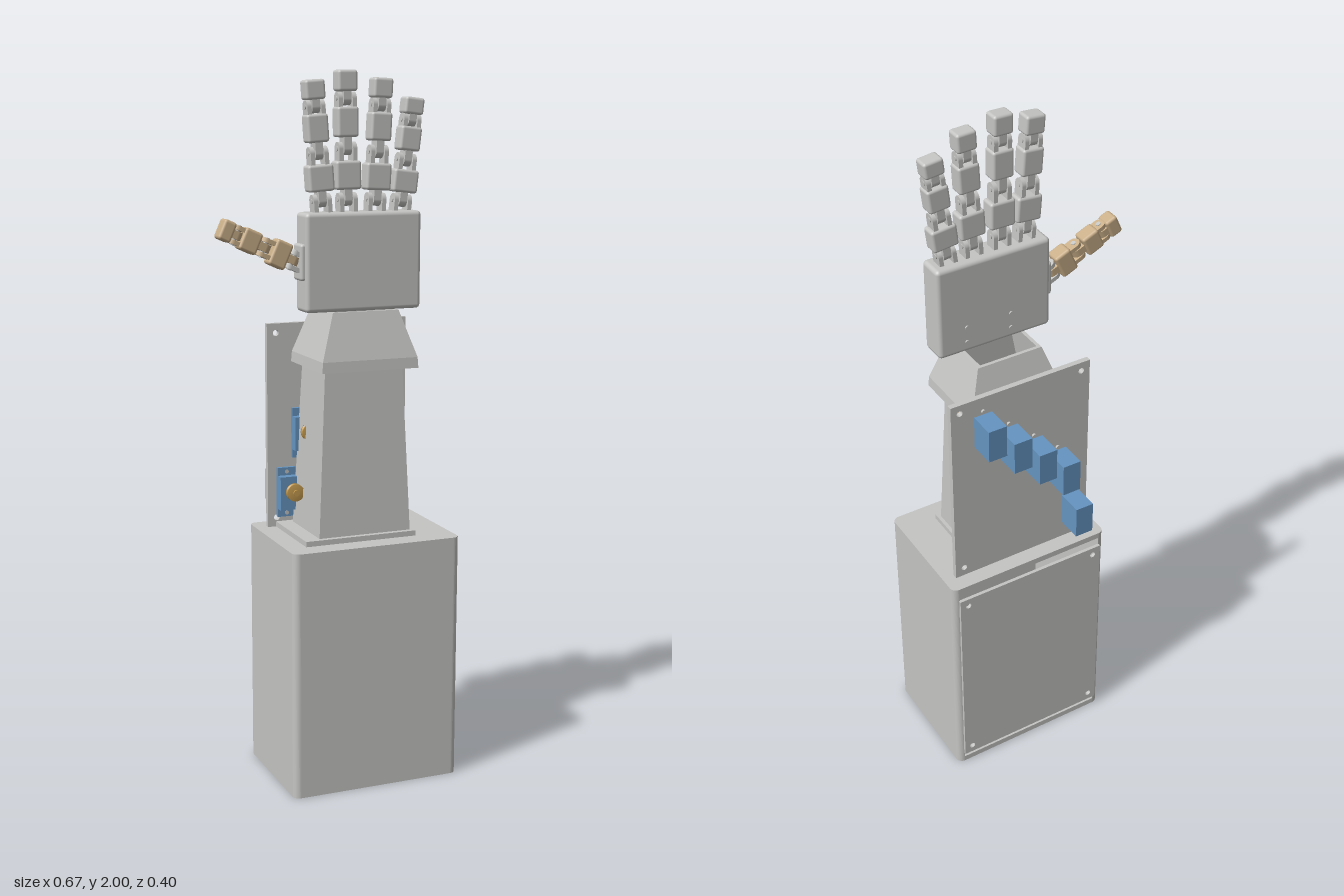
import * as THREE from 'three';
import { RoundedBoxGeometry } from 'three/addons/geometries/RoundedBoxGeometry.js';

const mat = (name, color) => Object.assign(new THREE.MeshStandardMaterial({ color }), { name });

export function createModel() {
  const grey = mat('lightGrey', 0xc4c4c2);
  const blue = mat('servoBlue', 0x6594c0);
  const tan = mat('thumbTan', 0xc9ae88);
  const brass = mat('brass', 0xc49a4e);
  const model = new THREE.Group();
  model.name = 'roboticArm';

  const add = (parent, name, geo, m, x = 0, y = 0, z = 0) => {
    const mesh = new THREE.Mesh(geo, m);
    mesh.name = name;
    mesh.position.set(x, y, z);
    parent.add(mesh);
    return mesh;
  };
  // box given by its limits
  const block = (parent, name, m, x0, x1, y0, y1, z0, z1) =>
    add(parent, name, new THREE.BoxGeometry(x1 - x0, y1 - y0, z1 - z0), m,
      (x0 + x1) / 2, (y0 + y1) / 2, (z0 + z1) / 2);
  const rodZ = (r, len) => new THREE.CylinderGeometry(r, r, len, 20).rotateX(Math.PI / 2);
  const rodX = (r, len) => new THREE.CylinderGeometry(r, r, len, 20).rotateZ(Math.PI / 2);

  // flat panel facing z with round holes
  const panel = (name, x0, x1, y0, y1, z0, depth, holes, r) => {
    const s = new THREE.Shape([[x0, y0], [x1, y0], [x1, y1], [x0, y1]].map(p => new THREE.Vector2(...p)));
    for (const [x, y] of holes) {
      const h = new THREE.Path();
      h.absarc(x, y, r, 0, Math.PI * 2, true);
      s.holes.push(h);
    }
    add(model, name, new THREE.ExtrudeGeometry(s, { depth, bevelEnabled: false, curveSegments: 10 }), grey, 0, 0, z0);
  };
  const corners = (x0, x1, y0, y1, d) =>
    [[x0 + d, y0 + d], [x1 - d, y0 + d], [x0 + d, y1 - d], [x1 - d, y1 - d]];

  // hollow rectangular sleeve; each ring is [y, x0, x1, z0, z1], outside upwards then inside downwards
  const sleeve = (name, rings) => {
    const pos = [], idx = [], n = rings.length;
    for (const [y, x0, x1, z0, z1] of rings) pos.push(x0, y, z1, x1, y, z1, x1, y, z0, x0, y, z0);
    for (let j = 0; j < n; j++) for (let i = 0; i < 4; i++) {
      const k = (i + 1) % 4, a = j * 4, b = ((j + 1) % n) * 4;
      idx.push(a + i, a + k, b + k, a + i, b + k, b + i);
    }
    const g = new THREE.BufferGeometry();
    g.setAttribute('position', new THREE.Float32BufferAttribute(pos, 3));
    g.setIndex(idx);
    const flat = g.toNonIndexed();
    flat.computeVertexNormals();
    add(model, name, flat, grey);
  };

  // base housing: rounded walls, open at the back, with floor and roof
  const X0 = -0.17, X1 = 0.333, Z0 = -0.17, Z1 = 0.197, R = 0.02, T = 0.018;
  const outline = s => {
    s.lineTo(X1 - R, -Z0);
    s.absarc(X1 - R, -Z0 - R, R, Math.PI / 2, 0, true);
    s.lineTo(X1, -Z1 + R);
    s.absarc(X1 - R, -Z1 + R, R, 0, -Math.PI / 2, true);
    s.lineTo(X0 + R, -Z1);
    s.absarc(X0 + R, -Z1 + R, R, -Math.PI / 2, -Math.PI, true);
    s.lineTo(X0, -Z0 - R);
    s.absarc(X0 + R, -Z0 - R, R, Math.PI, Math.PI / 2, true);
    return s;
  };
  const upright = (s, h) =>
    new THREE.ExtrudeGeometry(s, { depth: h, bevelEnabled: false, curveSegments: 6 }).rotateX(-Math.PI / 2);
  const wall = outline(new THREE.Shape().moveTo(X1 - R, -Z0));
  [[X0 + R, -Z0 - T], [X0 + T, -Z0 - T], [X0 + T, -Z1 + T], [X1 - T, -Z1 + T], [X1 - T, -Z0 - T], [X1 - R, -Z0 - T]]
    .forEach(p => wall.lineTo(...p));
  add(model, 'baseWalls', upright(wall, 0.674), grey, 0, 0.018);
  for (const [name, y] of [['baseFloor', 0], ['baseRoof', 0.692]])
    add(model, name, upright(outline(new THREE.Shape().moveTo(X0 + R, -Z0)), 0.018), grey, 0, y);
  panel('baseBackCover', -0.152, 0.315, 0.037, 0.668, -0.178, 0.01, corners(-0.152, 0.315, 0.037, 0.668, 0.025), 0.009);

  // forearm: foot flange, tapered sleeve and flared wrist cuff
  sleeve('forearmFlange', [[0.71, -0.11, 0.222, -0.106, 0.135], [0.725, -0.11, 0.222, -0.106, 0.135],
    [0.725, -0.05, 0.2, -0.075, 0.105], [0.71, -0.05, 0.2, -0.075, 0.105]]);
  sleeve('forearm', [[0.712, -0.065, 0.212, -0.09, 0.12], [1.2, -0.04, 0.192, -0.072, 0.1],
    [1.2, -0.028, 0.18, -0.06, 0.088], [0.712, -0.053, 0.2, -0.078, 0.108]]);
  sleeve('wristCuff', [[1.192, -0.062, 0.225, -0.105, 0.136], [1.222, -0.06, 0.223, -0.103, 0.134],
    [1.352, -0.016, 0.18, -0.065, 0.098], [1.352, -0.006, 0.168, -0.055, 0.088],
    [1.222, -0.032, 0.184, -0.064, 0.092], [1.192, -0.035, 0.186, -0.066, 0.094]]);

  // servo mounting plate
  panel('servoPlate', -0.134, 0.297, 0.71, 1.302, -0.123, 0.016, corners(-0.134, 0.297, 0.71, 1.302, 0.027), 0.009);

  // five servos with mounting tabs and tendon spools
  [[-0.08, 0.812], [-0.034, 0.984], [0.043, 1.055], [0.122, 1.126], [0.2, 1.197]].forEach(([x, y]) => {
    const servo = new THREE.Group();
    servo.name = 'servo';
    servo.position.set(x, y, 0);
    model.add(servo);
    const w = 0.0275;
    block(servo, 'servoBody', blue, -w, w, -0.048, 0.05, -0.2, -0.072);
    block(servo, 'servoTabs', blue, -w, w, -0.072, 0.073, -0.107, -0.096);
    for (const s of [-1, 1]) add(servo, 'servoScrew', rodZ(0.006, 0.034), grey, 0, s * 0.061, -0.112);
    add(servo, 'servoShaft', rodZ(0.008, 0.055), brass, 0, 0.014, -0.05);
    const p = [[0, -0.009], [0.025, -0.009], [0.025, -0.005], [0.019, -0.001], [0.019, 0.001], [0.025, 0.005], [0.025, 0.009], [0, 0.009]];
    const spool = new THREE.LatheGeometry(p.map(q => new THREE.Vector2(...q)), 24).rotateX(Math.PI / 2);
    add(servo, 'tendonSpool', spool, brass, 0, 0.014, -0.029);
    add(servo, 'spoolHub', rodZ(0.009, 0.006), brass, 0, 0.014, -0.018);
  });

  // palm with rear screws and thumb mount
  add(model, 'palm', new RoundedBoxGeometry(0.342, 0.27, 0.08, 3, 0.012), grey, 0.078, 1.488, 0.056);
  for (const x of [0.03, 0.165]) for (const y of [1.385, 1.43])
    add(model, 'palmScrew', rodZ(0.006, 0.006), grey, x, y, 0.0155);
  add(model, 'thumbMount', new RoundedBoxGeometry(0.025, 0.1, 0.06, 2, 0.008), grey, -0.092, 1.49, 0.056);

  // jointed finger: forked knuckle, then three phalanges joined by pinned hinges
  const finger = (name, x, y, angle, len, m) => {
    const f = new THREE.Group();
    f.name = name;
    f.position.set(x, y, 0.056);
    f.rotation.z = angle;
    model.add(f);
    const lug = (part, mt, cx, w, from, pivot) => {
      block(f, part, mt, cx - w / 2, cx + w / 2, Math.min(from, pivot), Math.max(from, pivot), -0.018, 0.018);
      add(f, part, rodX(0.018, w), mt, cx, pivot, 0);
    };
    const pivots = [0.09, 0.45, 0.8].map(v => v * len);
    const bodies = [[0.16, 0.365, 0.074], [0.53, 0.745, 0.062], [0.85, 1, 0.057]];
    let below = -0.012;
    bodies.forEach(([a, b, w], i) => {
      const y0 = a * len, y1 = b * len, mt = i ? m : grey;
      for (const s of [-1, 1]) lug('hingeFork', mt, s * 0.02, 0.012, below, pivots[i]);
      lug('hingeTongue', m, 0, 0.022, y0 + 0.005, pivots[i]);
      add(f, 'hingePin', rodX(0.007, 0.056), grey, 0, pivots[i], 0);
      add(f, 'phalanx', new RoundedBoxGeometry(w, y1 - y0, 0.046, 2, 0.008), m, 0, (y0 + y1) / 2, 0);
      below = y1 - 0.005;
    });
  };
  finger('indexFinger', -0.033, 1.622, 0.075, 0.353, grey);
  finger('middleFinger', 0.041, 1.622, 0.015, 0.378, grey);
  finger('ringFinger', 0.124, 1.622, -0.05, 0.358, grey);
  finger('littleFinger', 0.2, 1.622, -0.118, 0.308, grey);
  finger('thumb', -0.098, 1.487, 1.15, 0.248, tan);

  return model;
}
